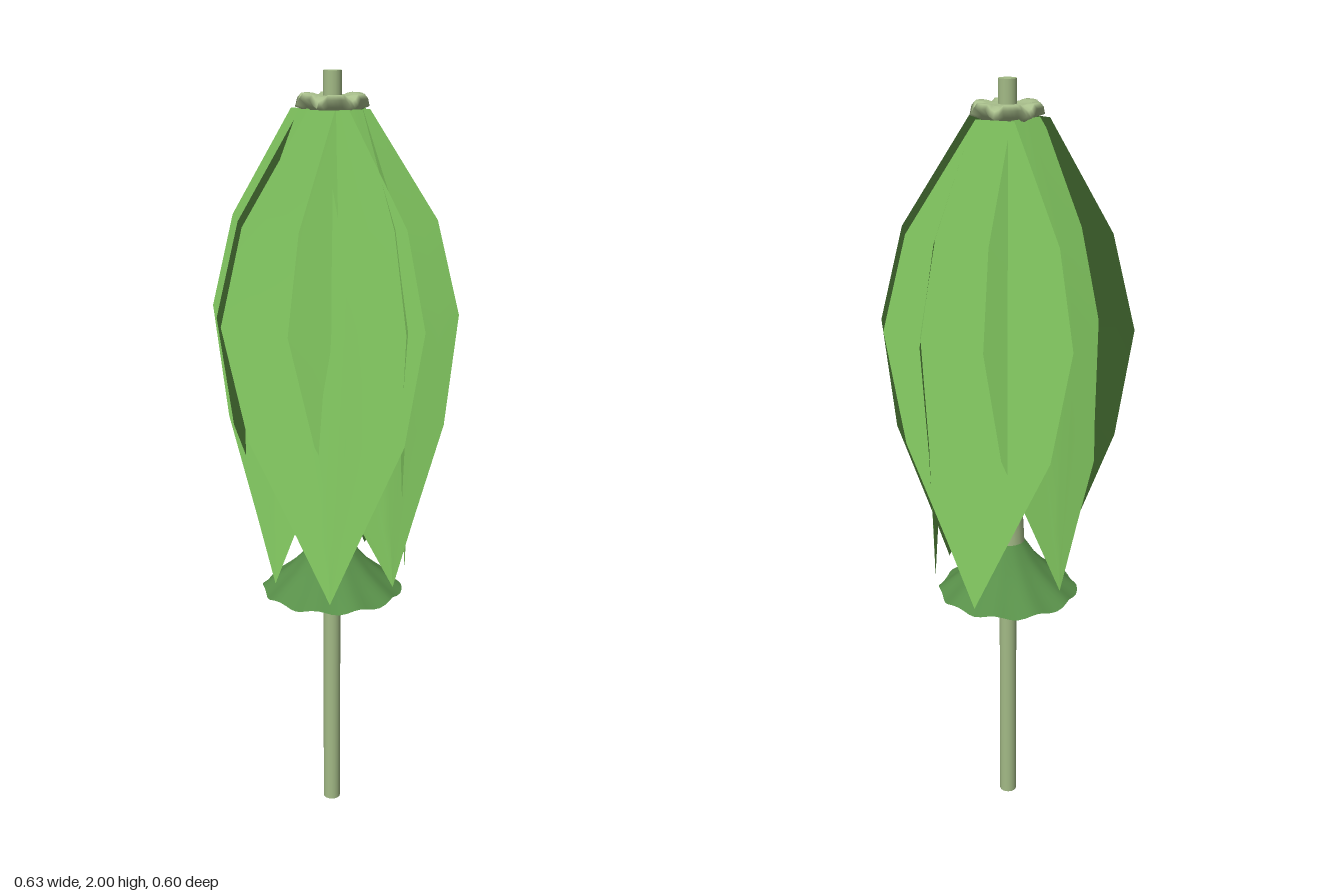
import * as THREE from 'three';

const mat = (name, color, side = THREE.FrontSide) => {
  const m = new THREE.MeshStandardMaterial({ color, side });
  m.name = name;
  return m;
};

// Petal rows from top to tip: height, half width, midline distance from the pole, edge curl
const ROWS = [
  [1.91, 0.05, 0.08, 0],
  [1.64, 0.2, 0.18, 0.01],
  [1.4, 0.25, 0.235, 0.03],
  [1.11, 0.195, 0.23, 0.025],
  [0.86, 0.078, 0.23, 0.01],
  [0.69, 0, 0.232, 0],
];

// Direction in degrees from the front towards +x, closeness to the pole, curl factor,
// sideways shift, sideways swing of the tip, inward tuck of the tip
const PETALS = [
  [180, 1, 1, 0, 0, 0],
  [109, 0.97, 1, 0, 0.03, 0.03],
  [55, 0.93, 1, 0.012, 0.065, 0.035],
  [17, 1, 1, 0, 0.022, 0],
  [-23, 0.74, 0.45, -0.036, 0, 0],
  [-112, 0.76, 0.6, 0, 0.015, 0],
];

function petalGeometry(closeness, curl, shift, swing, tuck) {
  const cols = 8;
  const geo = new THREE.PlaneGeometry(2, 1, cols, ROWS.length - 1);
  const p = geo.attributes.position;
  for (let i = 0; i < p.count; i++) {
    const [y, half, dist, bend] = ROWS[Math.floor(i / (cols + 1))];
    const u = p.getX(i);
    const drop = Math.max(0, (1.4 - y) / 0.71);
    const z = dist * closeness - bend * curl * Math.pow(Math.abs(u), 0.7) - tuck * drop;
    p.setXYZ(i, u * half + shift + swing * drop, y, z);
  }
  geo.computeVertexNormals();
  // Foliage-style normals lean upwards
  const n = geo.attributes.normal;
  for (let i = 0; i < n.count; i++) n.setY(i, n.getY(i) + 1.3);
  geo.normalizeNormals();
  return geo;
}

// Lathe whose outer rings ripple: ripple(radius, angle) gives [radius scale, height shift]
function rippledLathe(profile, segments, ripple) {
  const geo = new THREE.LatheGeometry(profile.map(([r, y]) => new THREE.Vector2(r, y)), segments);
  const p = geo.attributes.position;
  for (let i = 0; i < p.count; i++) {
    const x = p.getX(i), y = p.getY(i), z = p.getZ(i);
    const [s, dy] = ripple(Math.hypot(x, z), Math.atan2(x, z));
    p.setXYZ(i, x * s, y + dy, z * s);
  }
  geo.computeVertexNormals();
  return geo;
}

export function createModel() {
  const model = new THREE.Group();
  model.name = 'closedLeafParasol';
  const leaf = mat('leaf green', 0x72b054, THREE.DoubleSide);
  const darkLeaf = mat('dark leaf green', 0x588f49, THREE.DoubleSide);
  const stem = mat('pale stem green', 0xa3ba86);
  const pale = mat('pale cap green', 0xa9bf8c, THREE.DoubleSide);

  const add = (name, geo, material) => {
    const mesh = new THREE.Mesh(geo, material);
    mesh.name = name;
    mesh.position.x = 0.008;
    model.add(mesh);
    return mesh;
  };

  // Pole
  add('pole', new THREE.CylinderGeometry(0.023, 0.023, 2, 16).translate(0, 1, 0), stem);

  // Tapered sleeve inside the petals
  add('sleeve', new THREE.CylinderGeometry(0.024, 0.045, 0.4, 16, 1, true).translate(0, 0.98, 0), stem);

  // Overlapping folded petals
  PETALS.forEach(([degrees, ...shape], i) => {
    const petal = add('petal' + (i + 1), petalGeometry(...shape), leaf);
    petal.rotation.y = THREE.MathUtils.degToRad(degrees);
  });

  // Flared skirt with a wavy hem
  const skirt = [[0.186, 0.645], [0.148, 0.675], [0.112, 0.705], [0.075, 0.745], [0.045, 0.79]];
  add('skirt', rippledLathe(skirt, 60, (r, a) => {
    const k = Math.max(0, (r - 0.06) / 0.125);
    return [1 + 0.02 * k * Math.cos(10 * a), 0.005 * k * Math.sin(10 * a)];
  }), darkLeaf);

  // Scalloped cap: a flat centre with six dips around the rim
  const cap = [[0.023, 1.9], [0.055, 1.9], [0.068, 1.915], [0.09, 1.934], [0.08, 1.945], [0.06, 1.944], [0.05, 1.94], [0.02, 1.94]];
  add('cap', rippledLathe(cap, 48, (r, a) => {
    const dip = Math.max(0, Math.cos(6 * a));
    const k = Math.max(0, (r - 0.05) / 0.04);
    return [1 + 0.025 * k * Math.cos(12 * a), -0.02 * dip * k];
  }), pale);

  return model;
}
